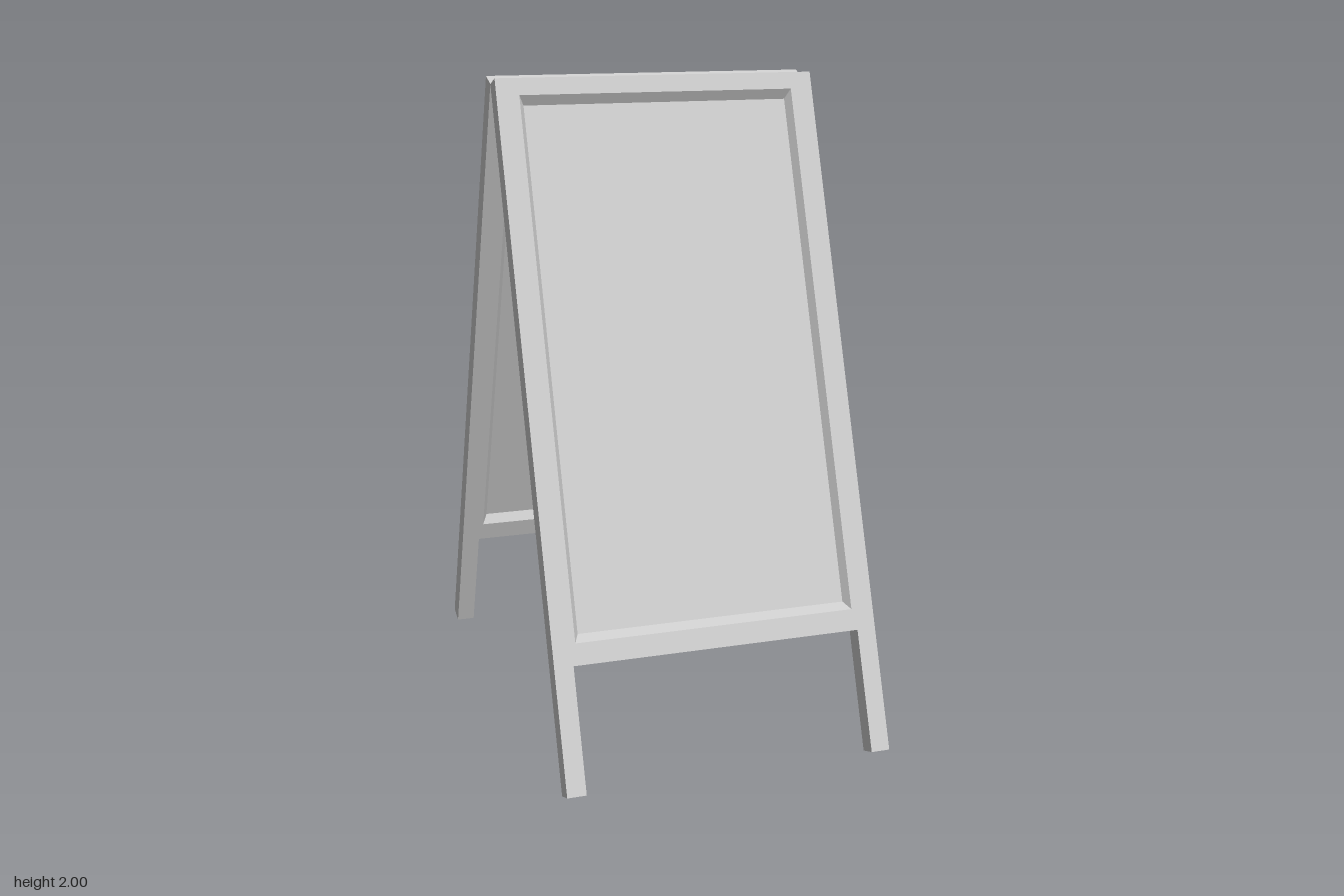
import * as THREE from 'three';

const HALF = 0.505;     // half width of the sign
const LEG = 0.058;      // leg width
const LENGTH = 2.106;   // leg length along the slope
const RAIL = -1.738;    // underside of the bottom rail
const THICK = 0.06;     // frame thickness
const LEAN = THREE.MathUtils.degToRad(20);
const OPENING = { x: 0.435, top: -0.053, bottom: -1.674 };
const FLOOR = { x: 0.419, top: -0.078, bottom: -1.649 };
const DEPTH = 0.025;    // recess depth on each face

const material = new THREE.MeshStandardMaterial({ color: 0xcccccc, flatShading: true });

// Corners anticlockwise from bottom left
const corners = (r, z) => [
  [-r.x, r.bottom, z], [r.x, r.bottom, z], [r.x, r.top, z], [-r.x, r.top, z],
];

// Frame outline with two legs and a rectangular opening
function frameGeometry() {
  const inner = HALF - LEG;
  const shape = new THREE.Shape([
    [-HALF, 0], [-HALF, -LENGTH], [-inner, -LENGTH], [-inner, RAIL],
    [inner, RAIL], [inner, -LENGTH], [HALF, -LENGTH], [HALF, 0],
  ].map(([x, y]) => new THREE.Vector2(x, y)));
  shape.holes.push(new THREE.Path(corners(OPENING, 0).map(([x, y]) => new THREE.Vector2(x, y))));
  return new THREE.ExtrudeGeometry(shape, { depth: THICK, bevelEnabled: false });
}

// Sloping border and flat board of one recessed face
function recessGeometry() {
  const outer = corners(OPENING, 0);
  const floor = corners(FLOOR, -DEPTH);
  const positions = [];
  const quad = (a, b, c, d) => positions.push(...a, ...b, ...c, ...a, ...c, ...d);
  for (let i = 0; i < 4; i++) {
    const j = (i + 1) % 4;
    quad(outer[i], outer[j], floor[j], floor[i]);
  }
  quad(...floor);
  const geometry = new THREE.BufferGeometry();
  geometry.setAttribute('position', new THREE.Float32BufferAttribute(positions, 3));
  geometry.computeVertexNormals();
  return geometry;
}

function makePanel(name) {
  const panel = new THREE.Group();
  panel.name = name;

  const frame = new THREE.Mesh(frameGeometry(), material);
  frame.name = 'frame';

  const outerBoard = new THREE.Mesh(recessGeometry(), material);
  outerBoard.name = 'outerBoard';
  outerBoard.position.z = THICK;

  const innerBoard = new THREE.Mesh(recessGeometry(), material);
  innerBoard.name = 'innerBoard';
  innerBoard.rotation.y = Math.PI;

  panel.add(frame, outerBoard, innerBoard);
  panel.rotation.x = -LEAN;
  panel.position.y = LENGTH * Math.cos(LEAN);
  return panel;
}

export function createModel() {
  const model = new THREE.Group();
  model.name = 'sandwichBoard';

  // Two identical panels meet along the top inner edge
  const back = new THREE.Group();
  back.name = 'backHalf';
  back.rotation.y = Math.PI;
  back.add(makePanel('backPanel'));

  model.add(makePanel('frontPanel'), back);
  return model;
}
